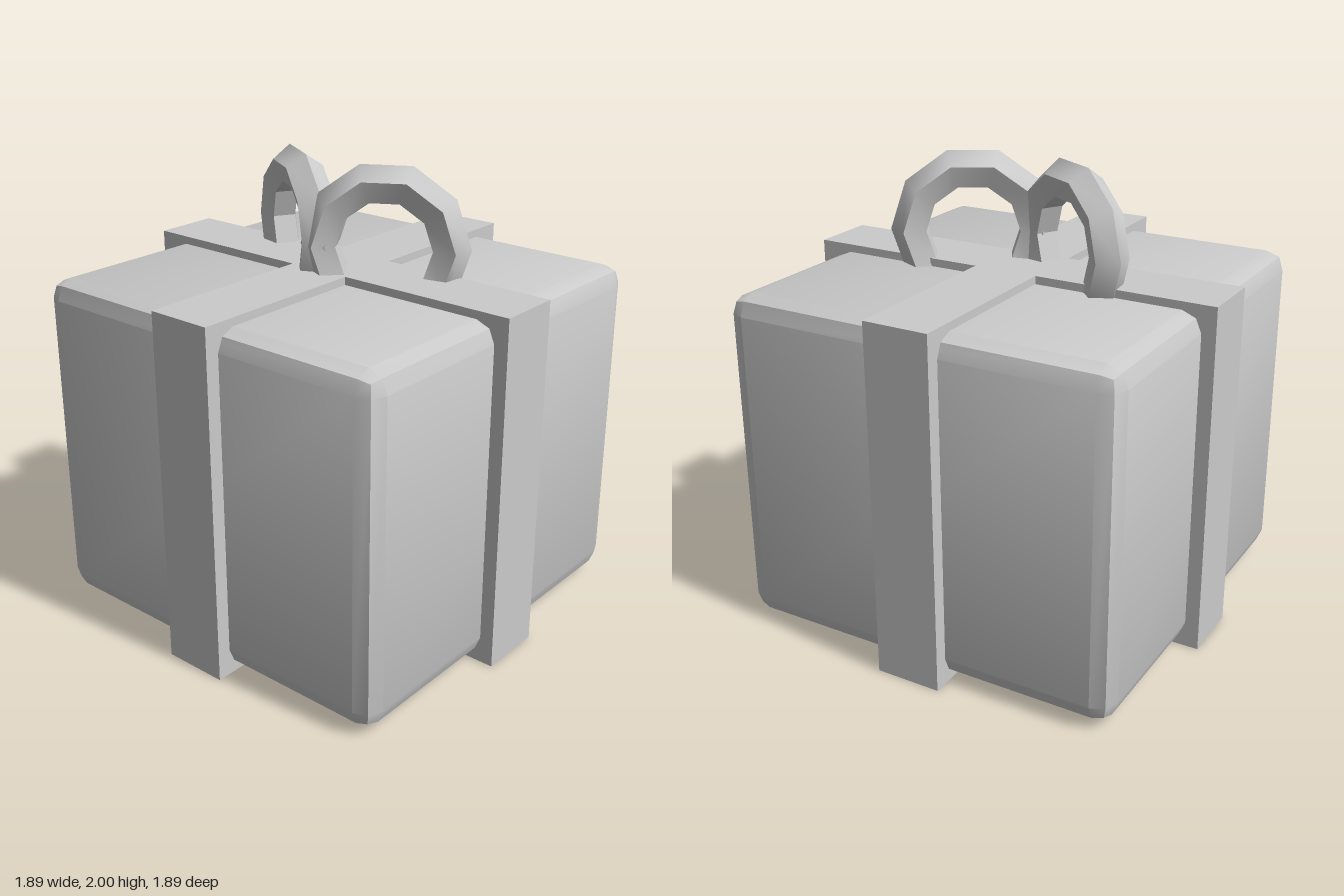
import * as THREE from 'three';
import { RoundedBoxGeometry } from 'three/addons/geometries/RoundedBoxGeometry.js';
import { toCreasedNormals } from 'three/addons/utils/BufferGeometryUtils.js';

const CREASE = 0.53;

export function createModel() {
  const model = new THREE.Group();
  model.name = 'giftBox';
  const material = new THREE.MeshStandardMaterial({ color: 0xcccccc });

  const add = (name, geometry) => {
    const mesh = new THREE.Mesh(geometry, material);
    mesh.name = name;
    model.add(mesh);
    return mesh;
  };

  // Box with a two-step bevel, creased along the middle of the bevel
  const box = new RoundedBoxGeometry(1.77, 1.48, 1.77, 1, 0.085);
  add('box', toCreasedNormals(box, CREASE)).position.y = 0.77;

  // Crossed ribbon bands: one plus-shaped outline raised to full height
  const w = 0.145, l = 0.947;
  const cross = new THREE.Shape([
    [w, -l], [w, -w], [l, -w], [l, w], [w, w], [w, l],
    [-w, l], [-w, w], [-l, w], [-l, -w], [-w, -w], [-w, -l],
  ].map(([x, y]) => new THREE.Vector2(x, y)));
  const ribbon = new THREE.ExtrudeGeometry(cross, { depth: 1.545, bevelEnabled: false });
  ribbon.rotateX(-Math.PI / 2);
  add('ribbon', ribbon);

  // Bow: two five-sided rings swept back on either side, sunk into the ribbon
  const loop = toCreasedNormals(new THREE.TorusGeometry(0.271, 0.0857, 5, 10), CREASE);
  for (const side of [1, -1]) {
    const mesh = add(side > 0 ? 'leftBowLoop' : 'rightBowLoop', loop);
    mesh.position.set(side * 0.24, 1.66, 0);
    mesh.rotation.y = side * Math.PI / 6;
  }

  return model;
}
